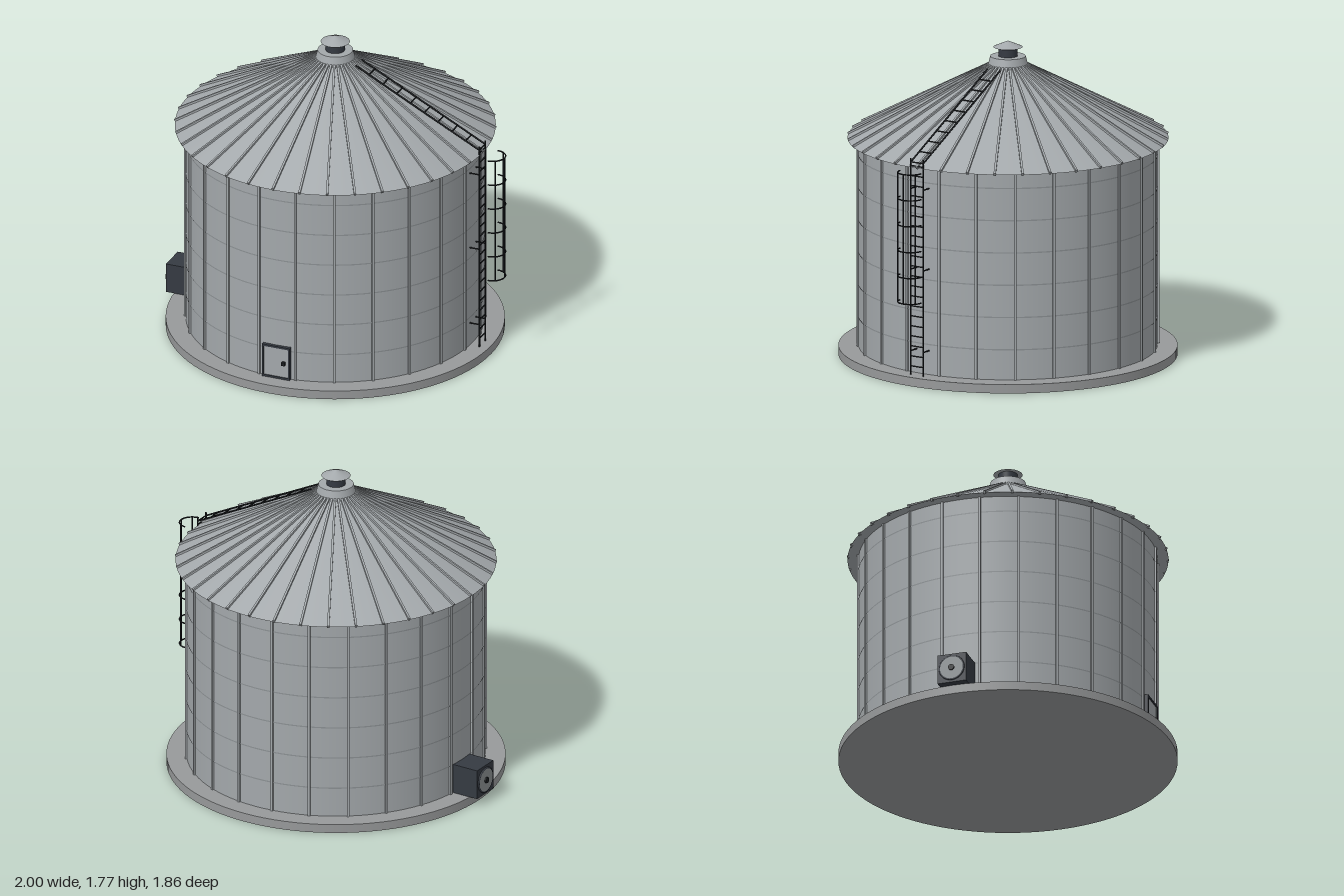
import * as THREE from 'three';

const mat = (name, color) => {
  const m = new THREE.MeshStandardMaterial({ color });
  m.name = name;
  return m;
};

export function createModel() {
  const steel = mat('galvanised steel', 0xa3a8ab);
  const seam = mat('seam steel', 0x8b9093);
  const concrete = mat('concrete', 0x97999a);
  const dark = mat('dark housing', 0x353a42);
  const black = mat('ladder black', 0x1b1e21);

  const model = new THREE.Group();
  model.name = 'grainBin';
  const CX = -0.012; // bin axis, offset so the whole model is centred

  const group = (name, parent = model) => {
    const g = new THREE.Group();
    g.name = name;
    parent.add(g);
    return g;
  };
  const add = (parent, name, geo, material, x = 0, y = 0, z = 0) => {
    const m = new THREE.Mesh(geo, material);
    m.name = name;
    m.position.set(x, y, z);
    parent.add(m);
    return m;
  };
  // round bar between two points
  const bar = (parent, name, a, b, r = 0.004) => {
    const p = new THREE.Vector3(...a), q = new THREE.Vector3(...b);
    const d = q.clone().sub(p);
    const m = add(parent, name, new THREE.CylinderGeometry(r, r, d.length(), 6), black);
    m.position.copy(p).add(q).multiplyScalar(0.5);
    m.quaternion.setFromUnitVectors(new THREE.Vector3(0, 1, 0), d.normalize());
    return m;
  };

  const BASE = 0.05, EAVE = 1.22, R = 0.82, ROOF_R = 0.88;
  const TOP_R = 0.1, TOP_Y = 1.63;
  const bin = group('bin');
  bin.position.x = CX;

  // slab and wall
  add(bin, 'slab', new THREE.CylinderGeometry(0.93, 0.93, BASE, 96), concrete, 0, BASE / 2);
  add(bin, 'wall', new THREE.CylinderGeometry(R, R, EAVE - BASE, 96, 1, true), steel, 0, (EAVE + BASE) / 2);

  // upright stiffeners
  const stiffeners = group('wallStiffeners', bin);
  const stiffGeo = new THREE.BoxGeometry(0.014, EAVE - BASE, 0.016);
  for (let i = 0; i < 24; i++) {
    const a = THREE.MathUtils.degToRad(7.5 + i * 15);
    const s = add(stiffeners, 'stiffener', stiffGeo, steel, Math.sin(a) * (R + 0.002), (EAVE + BASE) / 2, Math.cos(a) * (R + 0.002));
    s.rotation.y = a;
  }

  // horizontal sheet seams
  const seams = group('wallSeams', bin);
  const seamGeo = new THREE.CylinderGeometry(R + 0.002, R + 0.002, 0.007, 96, 1, true);
  for (let i = 0; i < 6; i++) add(seams, 'seam', seamGeo, seam, 0, 0.22 + i * 0.182, 0);

  // conical roof with radial ribs
  add(bin, 'roof', new THREE.CylinderGeometry(TOP_R, ROOF_R, TOP_Y - EAVE, 108), steel, 0, (TOP_Y + EAVE) / 2);
  const ribs = group('roofRibs', bin);
  const slope = Math.atan2(TOP_Y - EAVE, ROOF_R - TOP_R);
  const ribGeo = new THREE.BoxGeometry(Math.hypot(TOP_Y - EAVE, ROOF_R - TOP_R), 0.018, 0.012);
  for (let i = 0; i < 36; i++) {
    const arm = group('ribArm', ribs);
    arm.rotation.y = (i * Math.PI) / 18;
    const rib = add(arm, 'rib', ribGeo, steel, (TOP_R + ROOF_R) / 2, (TOP_Y + EAVE) / 2 + 0.002, 0);
    rib.rotation.z = -slope;
  }

  // top vent
  const vent = group('roofVent', bin);
  add(vent, 'collar', new THREE.CylinderGeometry(0.097, 0.112, 0.06, 48), steel, 0, 1.65);
  add(vent, 'neck', new THREE.CylinderGeometry(0.053, 0.053, 0.06, 40), dark, 0, 1.705);
  add(vent, 'cap', new THREE.ConeGeometry(0.08, 0.035, 40), steel, 0, 1.748);

  // door on the front
  const door = group('door');
  door.position.set(CX, 0.148, 0);
  const w = 0.165, h = 0.195, t = 0.011;
  add(door, 'doorPanel', new THREE.BoxGeometry(w - t, h - t, 0.03), steel, 0, 0, 0.817);
  for (const s of [-1, 1]) {
    add(door, 'frameSide', new THREE.BoxGeometry(t, h, 0.04), dark, (s * (w - t)) / 2, 0, 0.818);
    add(door, 'frameRail', new THREE.BoxGeometry(w, t, 0.04), dark, 0, (s * (h - t)) / 2, 0.818);
  }
  add(door, 'doorHandle', new THREE.BoxGeometry(0.02, 0.02, 0.018), black, 0.046, 0, 0.84);

  // aeration fan on the right side
  const fan = group('fan');
  add(fan, 'fanHousing', new THREE.BoxGeometry(0.175, 0.17, 0.165), dark, -0.8975, 0.135, 0);
  const disc = add(fan, 'fanGrille', new THREE.CylinderGeometry(0.066, 0.066, 0.008, 40), seam, -0.988, 0.135, 0);
  const rim = add(fan, 'fanRim', new THREE.TorusGeometry(0.068, 0.006, 8, 40), dark, -0.987, 0.135, 0);
  const hub = add(fan, 'fanHub', new THREE.CylinderGeometry(0.017, 0.017, 0.014, 20), black, -0.993, 0.135, 0);
  disc.rotation.z = hub.rotation.z = Math.PI / 2;
  rim.rotation.y = Math.PI / 2;

  // wall ladder on the left side
  const LX = 0.863, LZ = 0.041;
  const ladder = group('wallLadder');
  for (const z of [-LZ, LZ]) {
    bar(ladder, 'ladderRail', [LX, BASE, z], [LX, 1.27, z], 0.005);
    for (const y of [0.185, 0.645, 1.1]) bar(ladder, 'standoff', [0.8, y, z], [LX, y, z]);
  }
  for (let i = 0; i < 21; i++) {
    const y = 0.1 + i * 0.0565;
    bar(ladder, 'rung', [LX, y, -LZ], [LX, y, LZ]);
  }

  // roof ladder
  const roofLadder = group('roofLadder');
  const roofY = (x) => 1.627 - ((x - 0.126) * 0.375) / 0.734;
  for (const z of [-LZ, LZ]) bar(roofLadder, 'roofRail', [0.126, 1.627, z], [LX, roofY(LX), z], 0.005);
  for (let i = 0; i < 9; i++) {
    const x = 0.207 + i * 0.082;
    bar(roofLadder, 'roofRung', [x, roofY(x), -LZ], [x, roofY(x), LZ]);
  }

  // safety cage of half hoops and upright bars
  const cage = group('safetyCage');
  const CR = 0.07, HX = 0.926;
  const hoopGeo = new THREE.TorusGeometry(CR, 0.004, 6, 24, Math.PI);
  hoopGeo.rotateZ(-Math.PI / 2).rotateX(Math.PI / 2);
  for (let i = 0; i < 6; i++) add(cage, 'hoop', hoopGeo, black, HX, 0.48 + i * 0.146, 0);
  for (const deg of [-57, 0, 57]) {
    const a = THREE.MathUtils.degToRad(deg);
    const x = HX + Math.cos(a) * CR, z = Math.sin(a) * CR;
    bar(cage, 'cageBar', [x, 0.48, z], [x, 1.21, z]);
  }
  return model;
}
